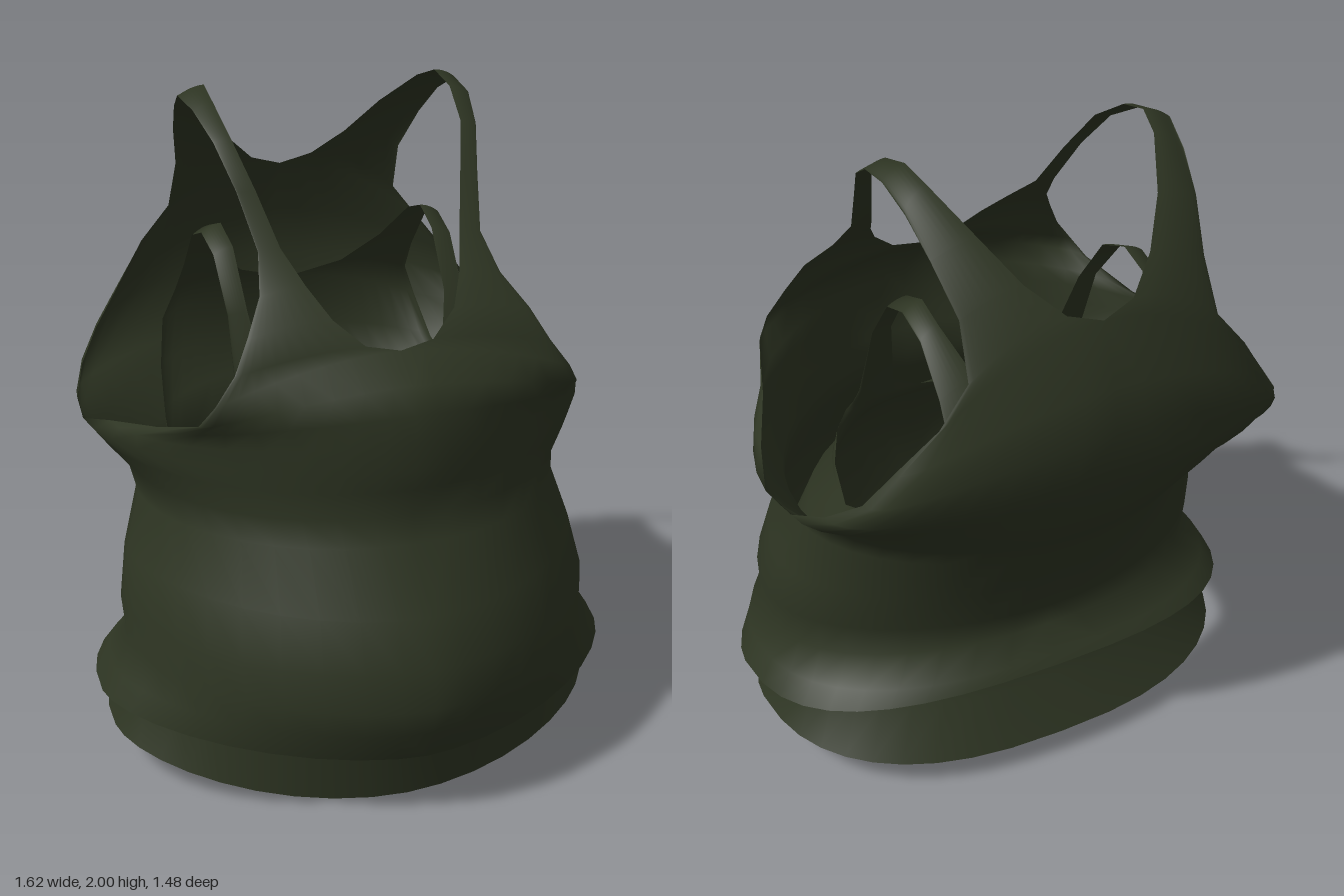
import * as THREE from 'three';
import { mergeVertices } from 'three/addons/utils/BufferGeometryUtils.js';

const COLUMNS = 10;

// Point on a quarter-oval running from the inner edge (t = 0) to the outer edge (t = 1);
// a roundness above 1 flattens the oval's shoulder, below 1 fills it out.
function sectionPoint([ax, ay, az, nx, ny, nz, roundness = 1.03], t) {
  const s = Math.sin(t * Math.PI / 2);
  const c = t === 1 ? 0 : Math.cos(t * Math.PI / 2);
  return [
    nx + (ax - nx) * Math.pow(s, roundness),
    ny + (ay - ny) * s * s,
    az + (nz - az) * Math.pow(c, roundness),
  ];
}

// Loft from front hem, over the shoulder, to back hem; both halves share the centre line.
function garment(name, material, { side, front, back, yokeFront, yokeBack }) {
  const ring = (centre) => side.map((p, i) => [...p, 0, ...centre[i]]);
  const rows = [...ring(front), ...yokeFront, ...yokeBack, ...ring(back).reverse()];
  const positions = [], index = [];
  for (const mirror of [1, -1]) {
    const base = positions.length / 3;
    for (const row of rows) {
      for (let j = 0; j <= COLUMNS; j++) {
        const [x, y, z] = sectionPoint(row, j / COLUMNS);
        positions.push(x * mirror, y, z);
      }
    }
    for (let i = 0; i < rows.length - 1; i++) {
      for (let j = 0; j < COLUMNS; j++) {
        const a = base + i * (COLUMNS + 1) + j, b = a + 1;
        const d = a + COLUMNS + 1, c = d + 1;
        if (mirror > 0) index.push(a, b, c, a, c, d);
        else index.push(a, c, b, a, d, c);
      }
    }
  }
  let geometry = new THREE.BufferGeometry();
  geometry.setAttribute('position', new THREE.Float32BufferAttribute(positions, 3));
  geometry.setIndex(index);
  geometry = mergeVertices(geometry, 1e-4);
  geometry.computeVertexNormals();
  const mesh = new THREE.Mesh(geometry, material);
  mesh.name = name;
  return mesh;
}

// side: side seam x, y, z.  front / back: centre line y, z, roundness.
// yoke rows: armhole edge x, y, z then neckline (or centre) x, y, z, optional roundness.
const outer = {
  side: [
    [0.81, 0.26, 0.08], [0.77, 0.33, 0.08], [0.72, 0.4, 0.07], [0.73, 0.52, 0.05],
    [0.7, 0.67, 0], [0.645, 0.83, -0.05], [0.66, 0.91, -0.1], [0.74, 1, -0.13],
  ],
  front: [
    [0.21, 0.68, 1.2], [0.31, 0.725, 1.17], [0.39, 0.74, 1.12], [0.51, 0.73, 1.12],
    [0.65, 0.68, 1.1], [0.83, 0.575, 1], [0.91, 0.55, 0.97], [0.99, 0.56, 1.05],
  ],
  back: [
    [0.34, -0.47, 0.8], [0.37, -0.45, 0.85], [0.44, -0.39, 1], [0.53, -0.41, 1.05],
    [0.67, -0.455, 1.05], [0.83, -0.53, 1.07], [0.91, -0.585, 1.07], [0.99, -0.635, 1.05],
  ],
  yokeFront: [
    [0.78, 1.05, -0.15, 0, 1.05, 0.57, 1.1],
    [0.73, 1.09, 0, 0, 1.13, 0.57, 1.13],
    [0.64, 1.13, 0.2, 0, 1.21, 0.565, 1.18],
    [0.57, 1.19, 0.39, 0, 1.29, 0.54, 1.2],
    [0.53, 1.25, 0.42, 0, 1.36, 0.44, 1.1],
    [0.47, 1.33, 0.41, 0.1, 1.38, 0.43],
    [0.42, 1.42, 0.37, 0.18, 1.45, 0.385],
    [0.36, 1.51, 0.29, 0.23, 1.53, 0.3],
    [0.335, 1.61, 0.2, 0.27, 1.615, 0.2],
    [0.365, 1.76, 0.1, 0.31, 1.76, 0.103],
    [0.4, 1.88, 0, 0.35, 1.89, 0.005],
    [0.425, 1.95, -0.12, 0.365, 1.97, -0.12],
    [0.435, 1.97, -0.25, 0.36, 2, -0.23],
  ],
  yokeBack: [
    [0.42, 1.92, -0.35, 0.34, 1.97, -0.32],
    [0.4, 1.83, -0.45, 0.27, 1.87, -0.46],
    [0.37, 1.7, -0.55, 0.19, 1.76, -0.56],
    [0.38, 1.55, -0.62, 0.1, 1.68, -0.63],
    [0.47, 1.44, -0.63, 0, 1.65, -0.65],
    [0.575, 1.3, -0.57, 0, 1.48, -0.72],
    [0.65, 1.2, -0.53, 0, 1.34, -0.737],
    [0.72, 1.12, -0.43, 0, 1.2, -0.72],
    [0.765, 1.06, -0.3, 0, 1.12, -0.69],
    [0.78, 1.05, -0.15, 0, 1.05, -0.665],
  ],
};

const inner = {
  side: [
    [0.77, 0.12, 0.05], [0.7, 0.25, 0.04], [0.68, 0.42, 0.03], [0.65, 0.6, 0],
    [0.59, 0.77, -0.06],
  ],
  front: [
    [0, 0.53, 1.05], [0.2, 0.56, 1.08], [0.4, 0.6, 1.1], [0.6, 0.57, 1.1],
    [0.77, 0.49, 1.05],
  ],
  back: [
    [0.09, -0.5, 0.8], [0.25, -0.42, 0.9], [0.42, -0.37, 1.03], [0.62, -0.42, 1.05],
    [0.8, -0.49, 1.05],
  ],
  yokeFront: [
    [0.52, 0.88, -0.1, 0, 0.89, 0.38],
    [0.49, 0.93, 0.04, 0, 0.97, 0.27],
    [0.44, 0.98, 0.13, 0, 1.02, 0.18],
    [0.4, 1.03, 0.15, 0, 1.05, 0.115],
    [0.385, 1.07, 0.125, 0.18, 1.08, 0.11],
    [0.375, 1.12, 0.1, 0.27, 1.14, 0.085],
    [0.37, 1.37, 0, 0.31, 1.375, 0],
    [0.375, 1.52, -0.12, 0.315, 1.54, -0.12],
    [0.38, 1.56, -0.23, 0.32, 1.585, -0.23],
  ],
  yokeBack: [
    [0.38, 1.525, -0.34, 0.32, 1.555, -0.33],
    [0.38, 1.4, -0.45, 0.27, 1.44, -0.45],
    [0.39, 1.3, -0.53, 0.17, 1.34, -0.54],
    [0.43, 1.2, -0.55, 0, 1.29, -0.58],
    [0.46, 1.07, -0.47, 0, 1.12, -0.6],
    [0.49, 0.96, -0.31, 0, 1, -0.57],
    [0.52, 0.88, -0.1, 0, 0.9, -0.53],
  ],
};

export function createModel() {
  const group = new THREE.Group();
  group.name = 'layeredTankTop';
  const fabric = new THREE.MeshStandardMaterial({ color: 0x2d3422, side: THREE.DoubleSide });
  fabric.name = 'olive fabric';
  group.add(garment('outerTop', fabric, outer), garment('innerTop', fabric, inner));
  return group;
}
